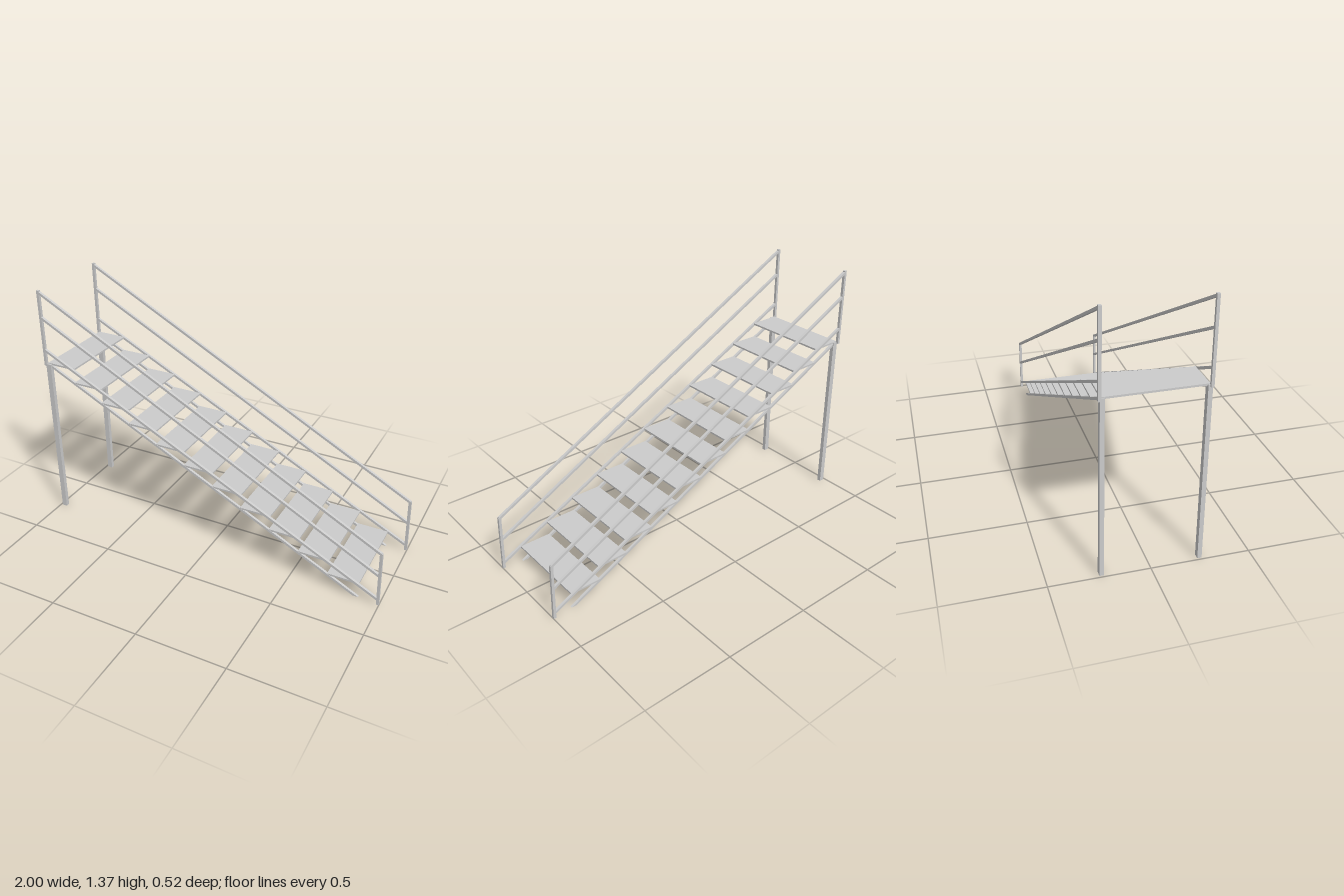
import * as THREE from 'three';

const material = new THREE.MeshStandardMaterial({ color: 0xcccccc, flatShading: true });

function addBox(parent, name, [x0, x1], [y0, y1], [z0, z1]) {
  const geometry = new THREE.BoxGeometry(x1 - x0, y1 - y0, z1 - z0);
  geometry.translate((x0 + x1) / 2, (y0 + y1) / 2, (z0 + z1) / 2);
  const mesh = new THREE.Mesh(geometry, material);
  mesh.name = name;
  parent.add(mesh);
}

// Side profile in x and y, extruded between two depths
function addProfile(parent, name, points, [z0, z1]) {
  const shape = new THREE.Shape(points.map(([x, y]) => new THREE.Vector2(x, y)));
  const geometry = new THREE.ExtrudeGeometry(shape, { depth: z1 - z0, bevelEnabled: false });
  geometry.translate(0, 0, z0);
  const mesh = new THREE.Mesh(geometry, material);
  mesh.name = name;
  parent.add(mesh);
}

// Sloping bar with plumb-cut ends
function addRail(parent, name, yTop, yBottom, depth) {
  const h = 0.0075, x0 = -0.992, x1 = 0.988;
  addProfile(parent, name, [
    [x0, yTop - h], [x1, yBottom - h], [x1, yBottom + h], [x0, yTop + h],
  ], depth);
}

function addSide(parent, name, rail, leg, stringer) {
  const side = new THREE.Group();
  side.name = name;
  parent.add(side);

  // Support leg and handrail posts
  addBox(side, 'supportLeg', [-0.99, -0.96], [0, 0.94], leg);
  addBox(side, 'upperPost', [-1, -0.985], [0.93, 1.365], rail);
  addProfile(side, 'lowerPost', [[0.985, 0], [1, 0], [0.992, 0.322], [0.977, 0.322]], rail);

  // Three parallel rails
  addRail(side, 'topRail', 1.355, 0.317, rail);
  addRail(side, 'middleRail', 1.212, 0.18, rail);
  addRail(side, 'lowerRail', 1.024, 0.033, rail);

  // Stringer under the treads, cut level at the floor
  addProfile(side, 'stringer', [
    [-0.975, 0.924], [0.855, 0], [0.885, 0], [-0.975, 0.939],
  ], stringer);
}

export function createModel() {
  const model = new THREE.Group();
  model.name = 'staircase';

  addSide(model, 'frontSide', [0.247, 0.262], [0.238, 0.26], [0.236, 0.25]);
  addSide(model, 'backSide', [-0.26, -0.245], [-0.25, -0.228], [-0.246, -0.232]);

  // Open treads
  const treads = new THREE.Group();
  treads.name = 'treads';
  model.add(treads);
  const count = 11;
  for (let i = 0; i < count; i++) {
    const t = i / (count - 1);
    const front = THREE.MathUtils.lerp(-0.81, 0.883, t);
    const y = THREE.MathUtils.lerp(0.939, 0.086, t);
    addBox(treads, 'tread', [front - 0.175, front], [y - 0.005, y + 0.005], [-0.246, 0.248]);
  }
  return model;
}
